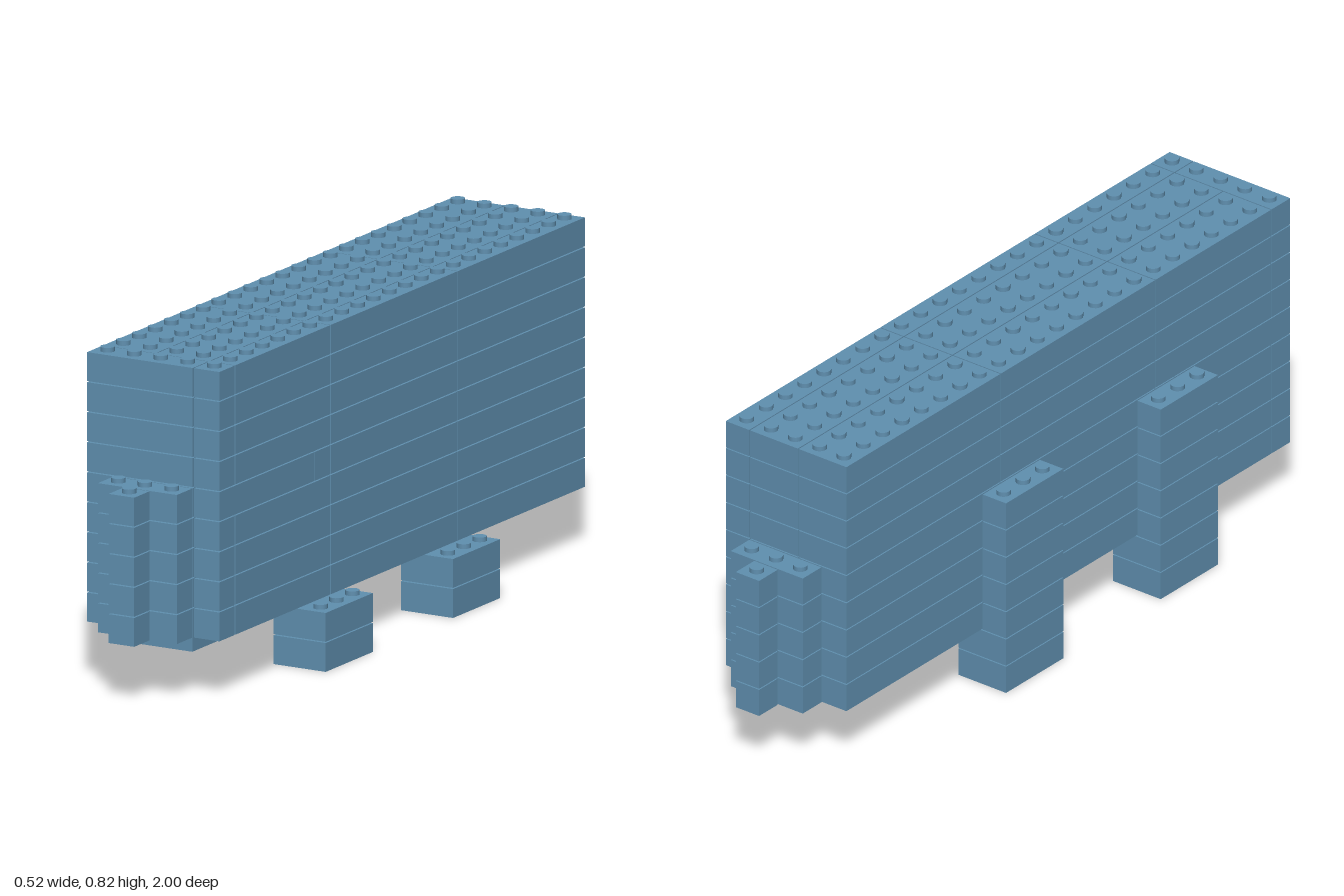
import * as THREE from 'three';
import { mergeGeometries } from 'three/addons/utils/BufferGeometryUtils.js';

const GAP = 0.003;             // seam between bricks
const U = (2 + GAP) / 27;      // one brick unit, the same in all directions
const STUD_R = 0.0175, STUD_H = 0.0115;

export function createModel() {
  const model = new THREE.Group();
  model.name = 'brickBuiltBlock';
  const sandBlue = new THREE.MeshStandardMaterial({ color: 0x6090b0 });
  sandBlue.name = 'sandBlue';

  const group = (name) => {
    const g = new THREE.Group();
    g.name = name;
    model.add(g);
    return g;
  };

  // One brick covering x0..x1 and z0..z1 units on a given layer
  const brick = (parent, x0, x1, z0, z1, layer) => {
    const geo = new THREE.BoxGeometry((x1 - x0) * U - GAP, U - GAP, (z1 - z0) * U - GAP);
    const mesh = new THREE.Mesh(geo, sandBlue);
    mesh.name = 'brick';
    mesh.position.set((x0 + x1) / 2 * U, layer * U + (U - GAP) / 2, (z0 + z1) / 2 * U);
    parent.add(mesh);
  };

  // Rows of studs on top of a layer, one per unit cell
  const studs = (parent, x0, x1, z0, z1, layer) => {
    const list = [];
    for (let x = x0 + 0.5; x < x1; x++) {
      for (let z = z0 + 0.5; z < z1; z++) {
        list.push(new THREE.CylinderGeometry(STUD_R, STUD_R, STUD_H, 16)
          .translate(x * U, (layer + 1) * U - GAP + STUD_H / 2, z * U));
      }
    }
    const mesh = new THREE.Mesh(mergeGeometries(list), sandBlue);
    mesh.name = 'studs';
    parent.add(mesh);
  };

  // Main body: nine layers of long bricks in three strips
  const body = group('body');
  const strips = [[-2.5, -0.5], [-0.5, 1.5], [1.5, 2.5]];
  for (let layer = 2; layer <= 10; layer++) {
    const bonded = layer === 6; // this layer has shifted joints
    const cuts = bonded ? [-11.5, -3.5, 4.5, 5.5, 11.5] : [-11.5, -3.5, 4.5, 10.5];
    for (const [x0, x1] of strips) {
      for (let i = 0; i < cuts.length - 1; i++) brick(body, x0, x1, cuts[i], cuts[i + 1], layer);
    }
    if (!bonded) {
      brick(body, -2.5, 1.5, 10.5, 11.5, layer);
      brick(body, 1.5, 2.5, 10.5, 11.5, layer);
    }
  }
  studs(body, -2.5, 2.5, -11.5, 11.5, 10);

  // Stepped noses at the front and back
  for (const [name, s] of [['frontNose', 1], ['backNose', -1]]) {
    const nose = group(name);
    for (const [half, z] of [[1.5, 12], [0.5, 13]]) {
      for (let layer = 2; layer <= 6; layer++) {
        brick(nose, -half, half, s * z - 0.5, s * z + 0.5, layer);
      }
      studs(nose, -half, half, s * z - 0.5, s * z + 0.5, 6);
    }
  }

  // Feet on both sides; the right ones carry tall columns
  for (const [end, z0] of [['front', 3.5], ['back', -4.5]]) {
    const z1 = z0 + 3;
    const leftFoot = group(end + 'LeftFoot');
    const rightFoot = group(end + 'RightFoot');
    for (let layer = 0; layer < 2; layer++) {
      brick(leftFoot, 1.5, 3.5, z0, z1, layer);
      brick(rightFoot, -3.5, -1.5, z0, z1, layer);
    }
    studs(leftFoot, 2.5, 3.5, z0, z1, 1);

    const column = group(end + 'RightColumn');
    for (let layer = 2; layer <= 6; layer++) brick(column, -3.5, -2.5, z0, z1, layer);
    studs(column, -3.5, -2.5, z0, z1, 6);
  }

  return model;
}
